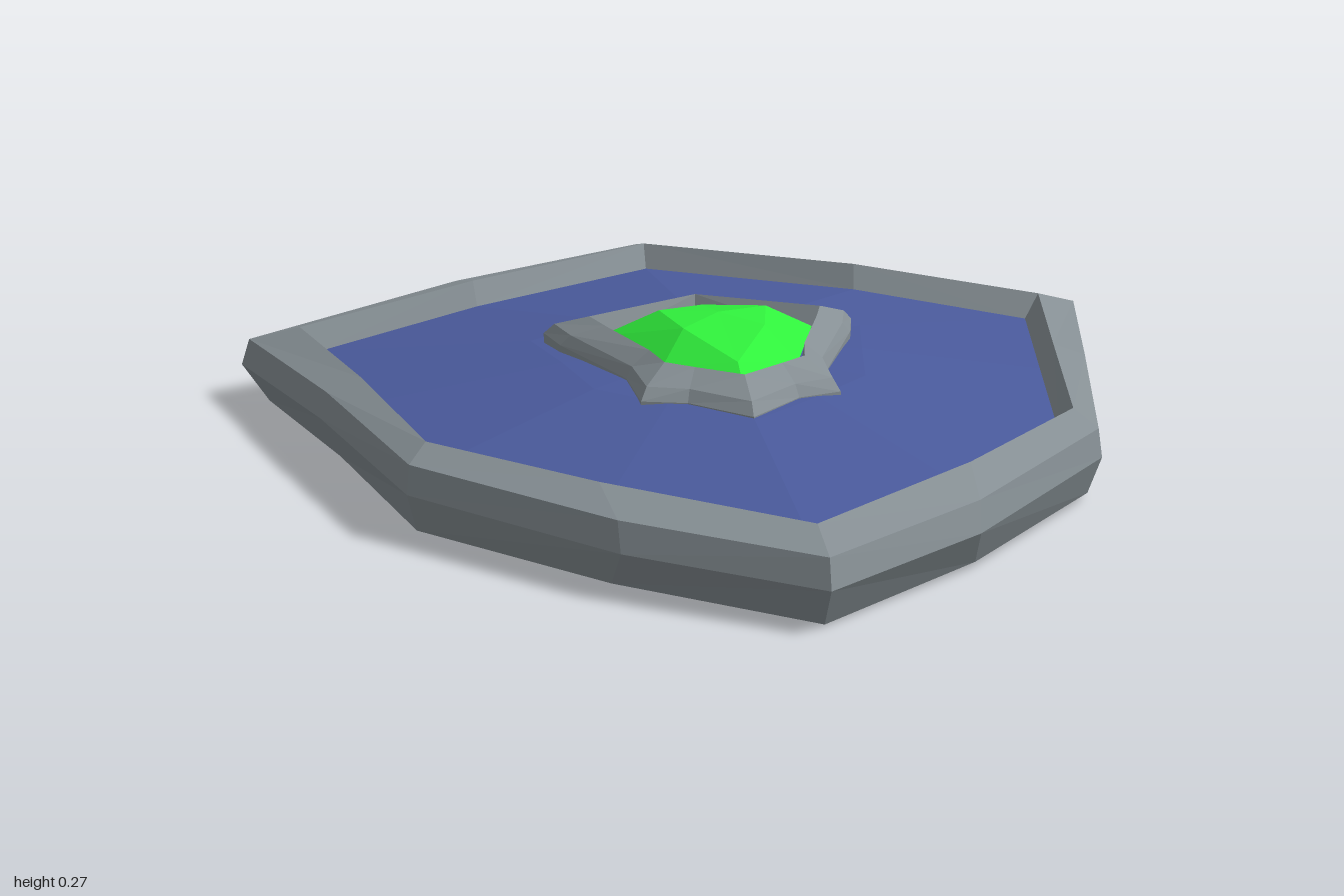
import * as THREE from 'three';

// Mirror a right-hand half outline [x, z, yOffset] into a closed loop (back point first, front point last)
function mirror(half) {
  const other = half.slice(1, -1).reverse().map(([x, z, y]) => [-x, z, y]);
  return [...half, ...other].map(([x, z, y]) => new THREE.Vector3(x, y, z));
}

// Ring between two loops, with t the blend and y the added height
const ring = (a, b, t, y) => a.map((p, i) => {
  const q = p.clone().lerp(b[i], t);
  q.y += y;
  return q;
});

const point = (n, x, y, z) => Array.from({ length: n }, () => new THREE.Vector3(x, y, z));

// Faceted skin through successive rings; a collapsed ring closes an end
function loft(name, rings, color) {
  const pos = [];
  const tri = (a, b, c) => {
    if (a.equals(b) || b.equals(c) || a.equals(c)) return;
    pos.push(...a.toArray(), ...b.toArray(), ...c.toArray());
  };
  for (let r = 0; r < rings.length - 1; r++) {
    const lo = rings[r], hi = rings[r + 1], n = lo.length;
    for (let i = 0; i < n; i++) {
      const j = (i + 1) % n;
      // mirrored diagonals keep both halves symmetric
      if (i < n / 2) {
        tri(lo[i], hi[i], hi[j]);
        tri(lo[i], hi[j], lo[j]);
      } else {
        tri(lo[i], hi[i], lo[j]);
        tri(hi[i], hi[j], lo[j]);
      }
    }
  }
  const geo = new THREE.BufferGeometry();
  geo.setAttribute('position', new THREE.Float32BufferAttribute(pos, 3));
  geo.computeVertexNormals();
  const mesh = new THREE.Mesh(geo, new THREE.MeshStandardMaterial({ color, flatShading: true }));
  mesh.name = name;
  return mesh;
}

export function createModel() {
  const group = new THREE.Group();
  group.name = 'shield';
  const steel = 0x868f94, blue = 0x4a5a9c, green = 0x30f03c;

  // Shield outline, inner rim edge and panel edge
  const outer = mirror([[0, -1, 0.05], [0.41, -0.735, 0.055], [0.845, -0.55, 0], [0.725, -0.06, 0.025],
    [0.612, 0.41, 0.02], [0.3, 0.77, 0.015], [0, 0.995, 0.01]]);
  const inner = mirror([[0, -0.862, 0.05], [0.385, -0.592, 0.055], [0.735, -0.465, 0.01], [0.65, -0.05, 0.02],
    [0.573, 0.355, 0.015], [0.315, 0.635, 0.015], [0, 0.885, 0.005]]);
  const panel = mirror([[0, -0.835, 0.05], [0.38, -0.57, 0.055], [0.705, -0.45, 0.01], [0.625, -0.05, 0.02],
    [0.552, 0.34, 0.015], [0.3, 0.605, 0.015], [0, 0.852, 0.005]]);
  const n = outer.length;

  // Rim and closed underside
  group.add(loft('rimAndBack', [
    point(n, 0, 0.06, 0),
    ring(outer, inner, 0.45, 0),
    ring(outer, inner, 0, 0.07),
    ring(outer, inner, 0.14, 0.122),
    ring(outer, inner, 1, 0.152),
    ring(panel, panel, 0, 0.105),
  ], steel));

  // Gently domed face panel
  const dome = ring(panel, point(n, 0, 0.09, -0.05), 0.55, 0.105);
  dome.forEach(p => { p.y += 0.018; });
  group.add(loft('facePanel', [ring(panel, panel, 0, 0.105), dome, point(n, 0, 0.2, -0.05)], blue));

  // Raised setting around the gem, tilted up toward the back
  const tilt = half => mirror(half.map(([x, z]) => [x, z, -0.035 * z]));
  const setOuter = tilt([[0, -0.312], [0.295, -0.207], [0.275, -0.125], [0.185, 0.095],
    [0.18, 0.23], [0.1, 0.252], [0, 0.347]]);
  const setInner = tilt([[0, -0.237], [0.205, -0.122], [0.185, -0.06], [0.135, 0.09],
    [0.118, 0.155], [0.075, 0.195], [0, 0.245]]);
  group.add(loft('gemSetting', [
    ring(setOuter, setInner, 0, 0.14),
    ring(setOuter, setInner, 0, 0.19),
    ring(setOuter, setInner, 0.2, 0.212),
    ring(setOuter, setInner, 0.85, 0.24),
    ring(setOuter, setInner, 1, 0.19),
  ], steel));

  // Cut gem
  const gemEdge = mirror([[0, -0.235, 0.21], [0.2, -0.12, 0.21], [0.125, 0.12, 0.21], [0, 0.243, 0.21]]);
  const gemTable = mirror([[0, -0.17, 0.248], [0.1, -0.06, 0.27], [0.075, 0.06, 0.266], [0, 0.195, 0.236]]);
  group.add(loft('gem', [gemEdge, gemTable, point(gemEdge.length, 0, 0.278, 0)], green));

  return group;
}
